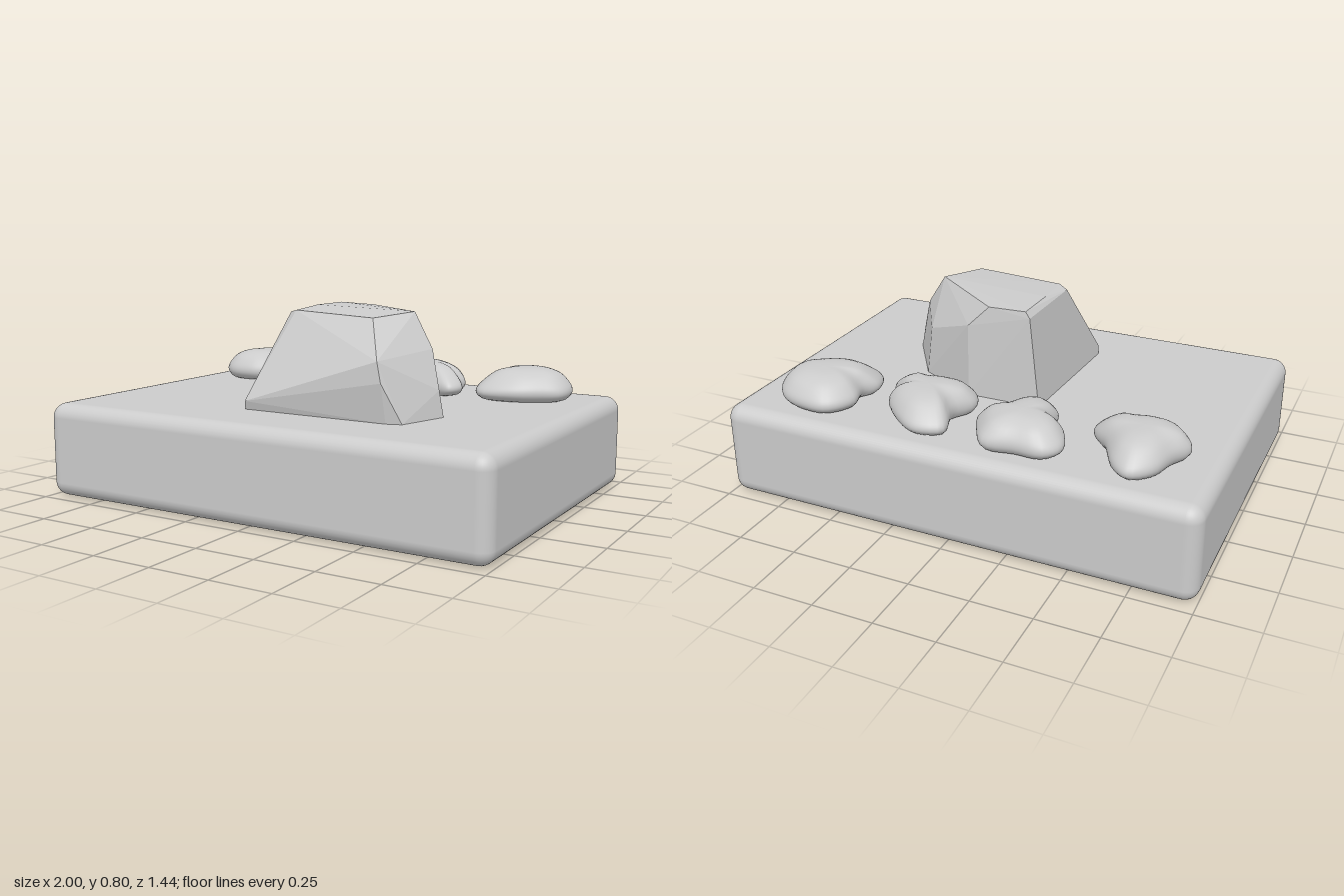
import * as THREE from 'three';
import { RoundedBoxGeometry } from 'three/addons/geometries/RoundedBoxGeometry.js';
import { ConvexGeometry } from 'three/addons/geometries/ConvexGeometry.js';

const TOP = 0.395; // upper surface of the slab

// Smooth pebble: a closed outline [x, z] swept up and inward along a rounded profile
function pebbleGeometry(outline, centre) {
  const [cx, cz] = centre;
  const curve = new THREE.CatmullRomCurve3(
    outline.map(([x, z]) => new THREE.Vector3(x, 0, z)), true);
  const profile = new THREE.SplineCurve([
    [0, 0], [0.75, 0], [0.95, 0.15], [1, 0.36], [0.93, 0.58], [0.72, 0.82], [0.4, 0.97], [0, 1],
  ].map(([s, h]) => new THREE.Vector2(s, h)));
  const sides = 48, rings = 24;
  const around = curve.getPoints(sides).slice(0, sides);
  const positions = [], indices = [];
  for (let j = 0; j <= rings; j++) {
    const p = profile.getPoint(j / rings);
    for (let i = 0; i < sides; i++) {
      const dx = (around[i].x - cx) * p.x, dz = (around[i].z - cz) * p.x;
      // lobes far from the centre sink lower
      const sink = 1 - 2.2 * Math.max(0, Math.hypot(dx, dz) - 0.14);
      positions.push(cx + dx, TOP + 0.135 * Math.max(0, p.y) * sink, cz + dz);
      if (j < rings) {
        const a = j * sides + i, b = j * sides + (i + 1) % sides;
        indices.push(a, a + sides, b, b, a + sides, b + sides);
      }
    }
  }
  const geometry = new THREE.BufferGeometry();
  geometry.setAttribute('position', new THREE.Float32BufferAttribute(positions, 3));
  geometry.setIndex(indices);
  geometry.computeVertexNormals();
  return geometry;
}

export function createModel() {
  const group = new THREE.Group();
  const smooth = new THREE.MeshStandardMaterial({ color: 0xcccccc });
  const faceted = new THREE.MeshStandardMaterial({ color: 0xcccccc, flatShading: true });
  const add = (name, geometry, material) => {
    const mesh = new THREE.Mesh(geometry, material);
    mesh.name = name;
    group.add(mesh);
    return mesh;
  };

  // Base slab with rounded edges
  add('slab', new RoundedBoxGeometry(2, TOP, 1.44, 4, 0.06), smooth).position.y = TOP / 2;

  // Faceted boulder: foot, shoulder and crown corners
  const corners = [
    [-0.175, TOP, -0.205], [0.14, TOP, -0.21], [0.4, TOP, -0.08],
    [0.565, TOP, 0.17], [0.5, TOP, 0.39], [0.44, TOP, 0.41], [-0.205, TOP, 0.41],
    [-0.2, 0.43, 0.42], [0.41, 0.63, 0.425], [0.43, 0.55, 0.432],
    [0.545, 0.5, 0.17], [0.48, 0.65, 0.1], [0.38, 0.6, -0.07],
    [0.14, 0.7, -0.2], [0.05, 0.79, -0.19], [-0.11, 0.795, -0.19], [-0.13, 0.77, -0.195],
    [-0.115, 0.795, 0.0], [-0.145, 0.775, 0.16], [-0.1, 0.785, 0.19],
    [0.3, 0.775, 0.26], [0.38, 0.79, 0.06],
  ].map((p) => new THREE.Vector3(...p));
  add('boulder', new ConvexGeometry(corners), faceted);

  // Row of pebbles along the back, outlines seen from above
  const pebbles = [
    { centre: [-0.69, -0.42], outline: [[-0.7, -0.64], [-0.63, -0.6], [-0.55, -0.46],
      [-0.475, -0.37], [-0.5, -0.28], [-0.58, -0.275], [-0.66, -0.255], [-0.78, -0.27],
      [-0.86, -0.37], [-0.82, -0.46], [-0.78, -0.58]] },
    { centre: [-0.23, -0.48], outline: [[-0.42, -0.56], [-0.37, -0.625], [-0.25, -0.63],
      [-0.13, -0.64], [-0.07, -0.56], [-0.03, -0.45], [-0.1, -0.39], [-0.16, -0.29],
      [-0.23, -0.255], [-0.31, -0.32], [-0.32, -0.4], [-0.39, -0.46]] },
    { centre: [0.2, -0.43], outline: [[0.05, -0.6], [0.15, -0.64], [0.23, -0.61],
      [0.37, -0.46], [0.355, -0.41], [0.41, -0.34], [0.38, -0.27], [0.3, -0.28],
      [0.2, -0.26], [0.07, -0.28], [0.03, -0.36], [0.08, -0.46]] },
    { centre: [0.67, -0.46], outline: [[0.49, -0.53], [0.56, -0.63], [0.66, -0.64],
      [0.78, -0.6], [0.85, -0.5], [0.85, -0.38], [0.78, -0.32], [0.67, -0.265],
      [0.52, -0.265], [0.475, -0.36], [0.51, -0.43]] },
  ];
  pebbles.forEach(({ outline, centre }, i) =>
    add(`pebble${i + 1}`, pebbleGeometry(outline, centre), smooth));

  return group;
}
